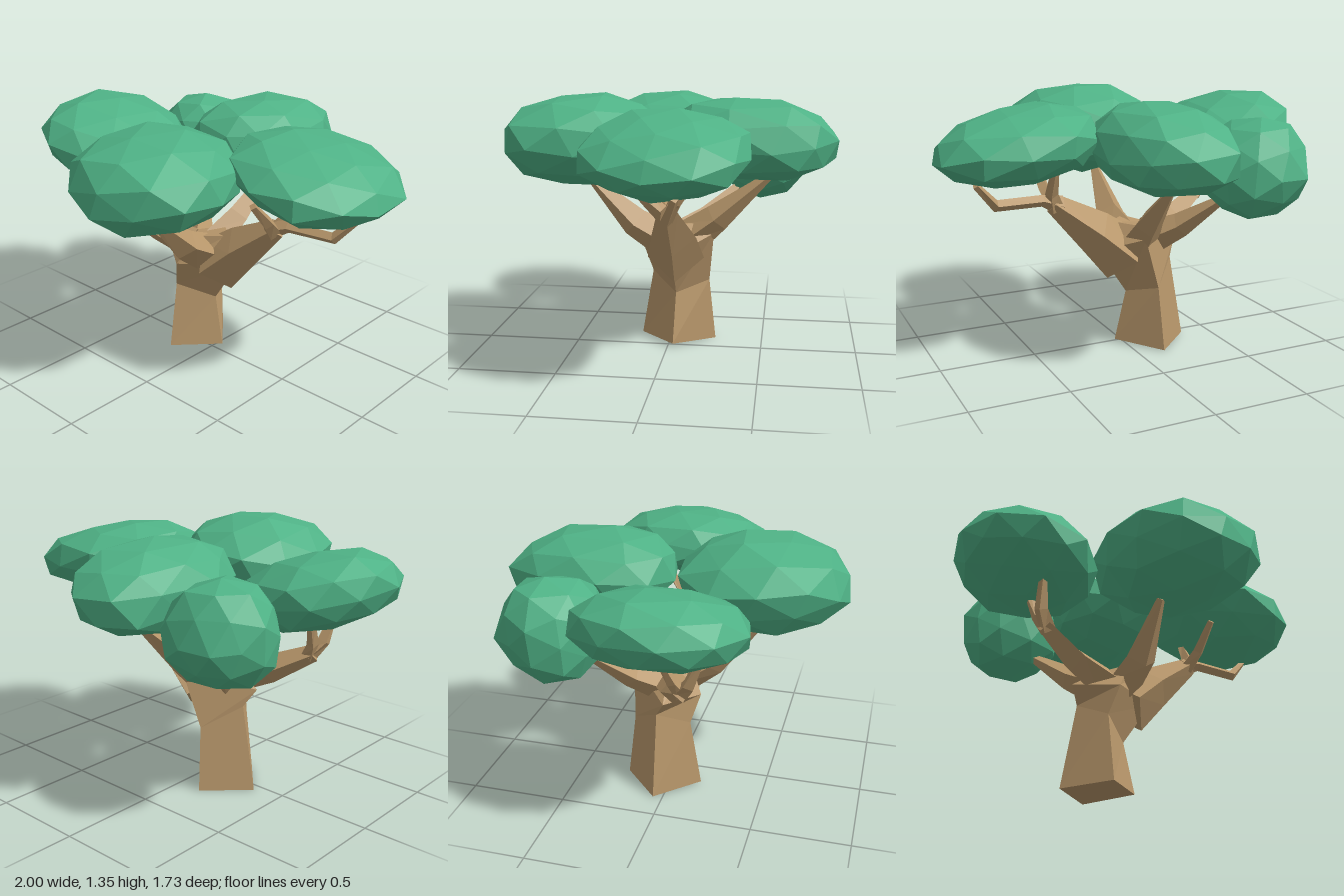
import * as THREE from 'three';

const bark = new THREE.MeshStandardMaterial({ color: 0xb8976b, flatShading: true });
const leaf = new THREE.MeshStandardMaterial({ color: 0x4fb286, flatShading: true });

function addMesh(group, name, geometry, material) {
  geometry.computeVertexNormals();
  const mesh = new THREE.Mesh(geometry, material);
  mesh.name = name;
  group.add(mesh);
}

// Skin a list of rings (same point count, counter-clockwise about the path) and cap both ends
function loft(rings) {
  const n = rings[0].length, index = [];
  for (let k = 0; k < rings.length - 1; k++) {
    for (let i = 0; i < n; i++) {
      const a = k * n + i, b = k * n + (i + 1) % n;
      index.push(a, b, b + n, a, b + n, a + n);
    }
  }
  const end = (rings.length - 1) * n;
  for (let i = 1; i < n - 1; i++) index.push(0, i + 1, i, end, end + i, end + i + 1);
  const geometry = new THREE.BufferGeometry();
  geometry.setAttribute('position', new THREE.Float32BufferAttribute(rings.flat(2), 3));
  geometry.setIndex(index);
  return geometry.toNonIndexed();
}

// Four-sided tapering limb; each point is [x, y, z, radius]
function limb(points) {
  const pos = points.map(p => new THREE.Vector3(p[0], p[1], p[2]));
  const up = new THREE.Vector3(0, 1, 0);
  return loft(pos.map((p, k) => {
    const t = pos[Math.min(k + 1, pos.length - 1)].clone().sub(pos[Math.max(k - 1, 0)]).normalize();
    const normal = up.clone().addScaledVector(t, -t.y).normalize();
    const side = t.clone().cross(normal);
    return [0, 1, 2, 3].map(i => {
      const a = i * Math.PI / 2, r = points[k][3];
      return p.clone().addScaledVector(normal, Math.cos(a) * r)
        .addScaledVector(side, Math.sin(a) * r).toArray();
    });
  }));
}

// Faceted leaf clump: jittered, tilted icosphere fitted to the box min..max (power < 1 is boxier)
function clump({ min, max, tilt, yaw, seed, power }) {
  const geometry = new THREE.IcosahedronGeometry(1, 1);
  geometry.rotateX(0.3 * seed).rotateY(yaw);
  const p = geometry.attributes.position, v = new THREE.Vector3();
  for (let i = 0; i < p.count; i++) {
    v.fromBufferAttribute(p, i);
    const q = v.clone().multiplyScalar(50).round();
    const h = Math.sin(q.x * 12.99 + q.y * 78.23 + q.z * 37.72 + seed * 9.1) * 437.58;
    const [x, y, z] = v.toArray().map(c => Math.sign(c) * Math.abs(c) ** power);
    v.set(x, y + x * tilt[0] + z * tilt[1], z).multiplyScalar(0.94 + 0.12 * (h - Math.floor(h)));
    p.setXYZ(i, v.x, v.y, v.z);
  }
  geometry.computeBoundingBox();
  const box = geometry.boundingBox;
  const size = box.getSize(new THREE.Vector3()), c = box.getCenter(new THREE.Vector3());
  geometry.translate(-c.x, -c.y, -c.z);
  geometry.scale(...['x', 'y', 'z'].map((k, i) => (max[i] - min[i]) / size[k]));
  geometry.translate(...min.map((m, i) => (m + max[i]) / 2));
  return geometry;
}

export function createModel() {
  const tree = new THREE.Group();
  tree.name = 'tree';

  // Trunk rings: right, back, left, front corners
  addMesh(tree, 'trunk', loft([
    [[0.05, 0.02, -0.03], [-0.14, 0, -0.245], [-0.35, 0, -0.05], [-0.16, 0.01, 0.165]],
    [[-0.01, 0.29, -0.04], [-0.12, 0.34, -0.21], [-0.27, 0.45, -0.05], [-0.165, 0.37, 0.105]],
    [[0.15, 0.53, -0.04], [-0.03, 0.62, -0.24], [-0.32, 0.54, 0.0], [-0.12, 0.52, 0.15]],
    [[0.07, 0.68, -0.03], [-0.04, 0.67, -0.15], [-0.16, 0.65, -0.02], [-0.04, 0.68, 0.07]],
  ]), bark);

  // Main branches and their forks
  const branches = {
    rightBranch: [[0.0, 0.49, -0.04, 0.15], [0.17, 0.64, -0.05, 0.115], [0.4, 0.815, -0.05, 0.05]],
    rightForkOuter: [[0.36, 0.8, -0.05, 0.05], [0.46, 0.835, -0.06, 0.03], [0.71, 0.84, -0.09, 0.03], [0.82, 0.96, -0.14, 0.018]],
    rightForkFront: [[0.38, 0.79, -0.04, 0.045], [0.41, 0.87, 0.04, 0.033], [0.42, 1.0, 0.17, 0.02]],
    rightForkBack: [[0.38, 0.79, -0.05, 0.045], [0.42, 0.87, -0.09, 0.033], [0.44, 1.02, -0.2, 0.02]],
    leftBranch: [[-0.14, 0.58, 0.0, 0.1], [-0.34, 0.64, 0.07, 0.075], [-0.55, 0.75, 0.16, 0.045]],
    leftForkFront: [[-0.52, 0.73, 0.15, 0.045], [-0.58, 0.81, 0.2, 0.035], [-0.6, 0.96, 0.26, 0.02]],
    leftForkBack: [[-0.52, 0.73, 0.15, 0.04], [-0.57, 0.81, 0.12, 0.03], [-0.6, 0.95, 0.06, 0.02]],
    frontBranch: [[-0.04, 0.58, 0.03, 0.1], [-0.02, 0.67, 0.18, 0.08], [-0.03, 0.9, 0.42, 0.022]],
    backBranch: [[-0.07, 0.58, -0.1, 0.1], [-0.04, 0.7, -0.25, 0.075], [-0.02, 0.94, -0.53, 0.02]],
    backLeftBranch: [[-0.16, 0.58, -0.06, 0.09], [-0.26, 0.66, -0.18, 0.065], [-0.42, 0.83, -0.36, 0.02]],
  };
  for (const [name, points] of Object.entries(branches)) addMesh(tree, name, limb(points), bark);

  // Leaf clumps
  const clumps = {
    rightLeaves: { min: [0.18, 0.93, -0.46], max: [1, 1.32, 0.34], tilt: [-0.3, 0], yaw: 0.4, seed: 1, power: 1 },
    frontLeaves: { min: [-0.35, 0.88, 0], max: [0.44, 1.35, 0.86], tilt: [0, -0.05], yaw: 1.1, seed: 2, power: 1 },
    leftLeaves: { min: [-1, 0.91, -0.33], max: [-0.27, 1.31, 0.5], tilt: [-0.3, 0], yaw: 0.2, seed: 3, power: 0.95 },
    backLeaves: { min: [-0.34, 0.92, -0.87], max: [0.31, 1.34, 0], tilt: [0, 0.12], yaw: 0.8, seed: 4, power: 0.85 },
    backLeftLeaves: { min: [-0.77, 0.73, -0.75], max: [-0.24, 1.25, -0.24], tilt: [0, 0], yaw: 0.5, seed: 5, power: 0.9 },
  };
  for (const [name, spec] of Object.entries(clumps)) addMesh(tree, name, clump(spec), leaf);

  return tree;
}
